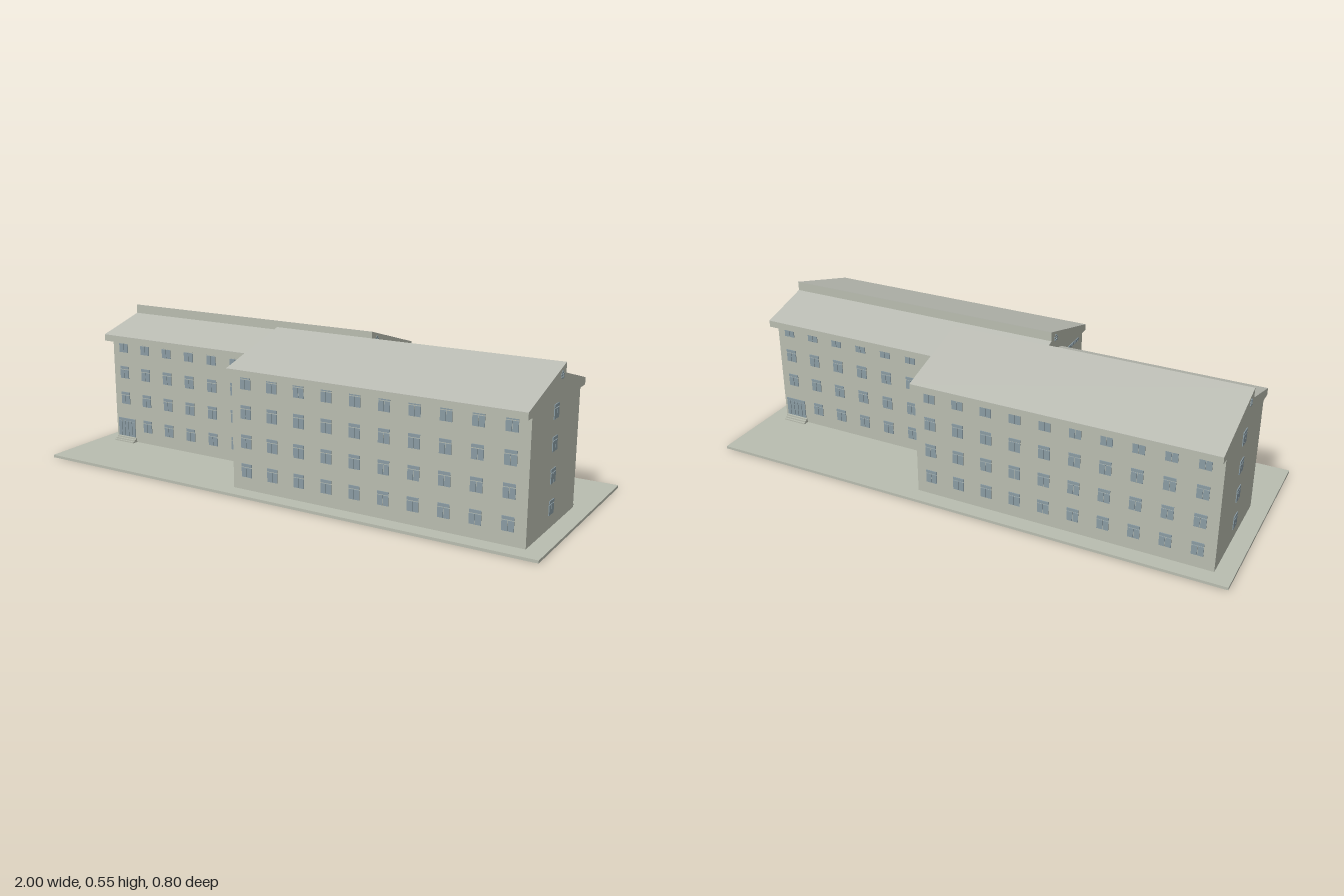
import * as THREE from 'three';
import { mergeGeometries } from 'three/addons/utils/BufferGeometryUtils.js';

const material = (name, color) => Object.assign(new THREE.MeshStandardMaterial({ color }), { name });

const X0 = -0.17, X1 = 0.935;          // ends of a wing
const FRONT = 0.34, BACK = -0.097;     // its long walls
const FLOOR = 0.107, FLOORS = 4, BAY = 0.1095;
const T = 0.006;                       // plate thickness, half sunk into the wall

const box = (w, h, d, x, y, z) => new THREE.BoxGeometry(w, h, d).translate(x, y, z);

// Two panes under a transom light, centred on x, sill at y, facing +z
function windowParts(x, y) {
  return [
    box(0.02, 0.035, T, x - 0.011, y + 0.0175, 0),
    box(0.02, 0.035, T, x + 0.011, y + 0.0175, 0),
    box(0.042, 0.011, T, x, y + 0.0435, 0),
  ];
}

// Extrudes a (z, y) outline along x
function extrudeAlongX(points, x0, x1) {
  const shape = new THREE.Shape(points.map(([z, y]) => new THREE.Vector2(-z, y)));
  return new THREE.ExtrudeGeometry(shape, { depth: x1 - x0, bevelEnabled: false })
    .rotateY(Math.PI / 2).translate(x0, 0, 0);
}

function createWing(mats) {
  const wing = new THREE.Group();
  const add = (name, geometry, mat) => {
    const mesh = new THREE.Mesh(geometry, mat);
    mesh.name = name;
    wing.add(mesh);
    return mesh;
  };

  // Walls, eaves and stepped gable as one profile
  add('walls', extrudeAlongX([
    [FRONT, 0.009], [FRONT, 0.43], [0.372, 0.43], [0.372, 0.453], [0.053, 0.545],
    [0.053, 0.51], [-0.146, 0.454], [-0.146, 0.43], [BACK, 0.43], [BACK, 0.009],
  ], X0, X1), mats.wall);

  // Roof sheets on the two slopes
  const sheet = (a, b) => extrudeAlongX(
    [a, b, [b[0], b[1] + 0.0015], [a[0], a[1] + 0.0015]], X0, X1);
  add('frontRoof', sheet([0.372, 0.453], [0.053, 0.545]), mats.roof);
  add('backRoof', sheet([0.053, 0.51], [-0.146, 0.454]), mats.roof);

  // Long wall windows
  const front = [], back = [], gable = [], strips = [];
  for (let f = 0; f < FLOORS; f++) {
    const sill = 0.058 + FLOOR * f;
    for (let i = 0; i < 10; i++) front.push(...windowParts(-0.112 + BAY * i, sill));
    for (let i = 0; i < 7; i++) {
      if (f === 0 && i === 6) continue; // entrance here
      back.push(...windowParts(-(0.225 + BAY * i), sill));
    }
    // Stairwell windows on the outer gable
    gable.push(...windowParts(-0.129, sill));
    // Ribbon lights on the inner gable
    for (let i = 0; i < 11; i++) {
      strips.push(box(0.0128, 0.011, T, 0.148 + 0.0147 * i, 0.103 + 0.1065 * f, 0));
    }
  }
  add('frontWindows', mergeGeometries(front).translate(0, 0, FRONT), mats.glass);
  add('backWindows', mergeGeometries(back).rotateY(Math.PI).translate(0, 0, BACK), mats.glass);
  add('gableWindows', mergeGeometries(gable).rotateY(Math.PI / 2).translate(X1, 0, 0), mats.glass);
  add('ribbonWindows', mergeGeometries(strips).rotateY(-Math.PI / 2).translate(X0, 0, 0), mats.glass);

  // Attic vents: a small cluster of diamonds on each gable
  const vents = [[0, 0.521], [-0.008, 0.513], [0.008, 0.513], [-0.006, 0.504], [0.006, 0.504]]
    .map(([u, y]) => new THREE.CylinderGeometry(0.0045, 0.0045, T, 6)
      .rotateX(Math.PI / 2).translate(u, y, 0));
  const vent = mergeGeometries(vents);
  add('outerVents', vent.clone().rotateY(Math.PI / 2).translate(X1, 0, 0.09), mats.glass);
  add('innerVents', vent.clone().rotateY(-Math.PI / 2).translate(X0, 0, 0.09), mats.glass);

  // Glazed entrance with a transom
  const door = [box(0.086, 0.011, T, 0.882, 0.098, BACK)];
  for (let i = 0; i < 5; i++) {
    door.push(box(0.0155, 0.062, T, 0.882 + (i - 2) * 0.0176, 0.06, BACK));
  }
  add('entrance', mergeGeometries(door), mats.glass);

  // Entrance steps
  const steps = [];
  for (let i = 0; i < 3; i++) {
    const d = 0.008 * (3 - i), h = 0.006;
    steps.push(box(0.096, h, d, 0.882, 0.012 + h * i, BACK - d / 2));
  }
  add('steps', mergeGeometries(steps), mats.wall);
  return wing;
}

export function createModel() {
  const model = new THREE.Group();
  model.name = 'building';
  const mats = {
    wall: material('wall', 0xb9bdb0),
    roof: material('roof', 0xb9bbb2),
    glass: material('glass', 0x8a9ba3),
  };

  // Ground slab
  const slab = new THREE.Mesh(box(2, 0.01, 0.8, 0, 0.005, 0), mats.wall);
  slab.name = 'groundSlab';
  model.add(slab);

  // Two equal wings, offset and turned half round
  const frontWing = createWing(mats);
  frontWing.name = 'frontWing';
  const rearWing = frontWing.clone();
  rearWing.name = 'rearWing';
  rearWing.rotation.y = Math.PI;
  model.add(frontWing, rearWing);
  return model;
}
